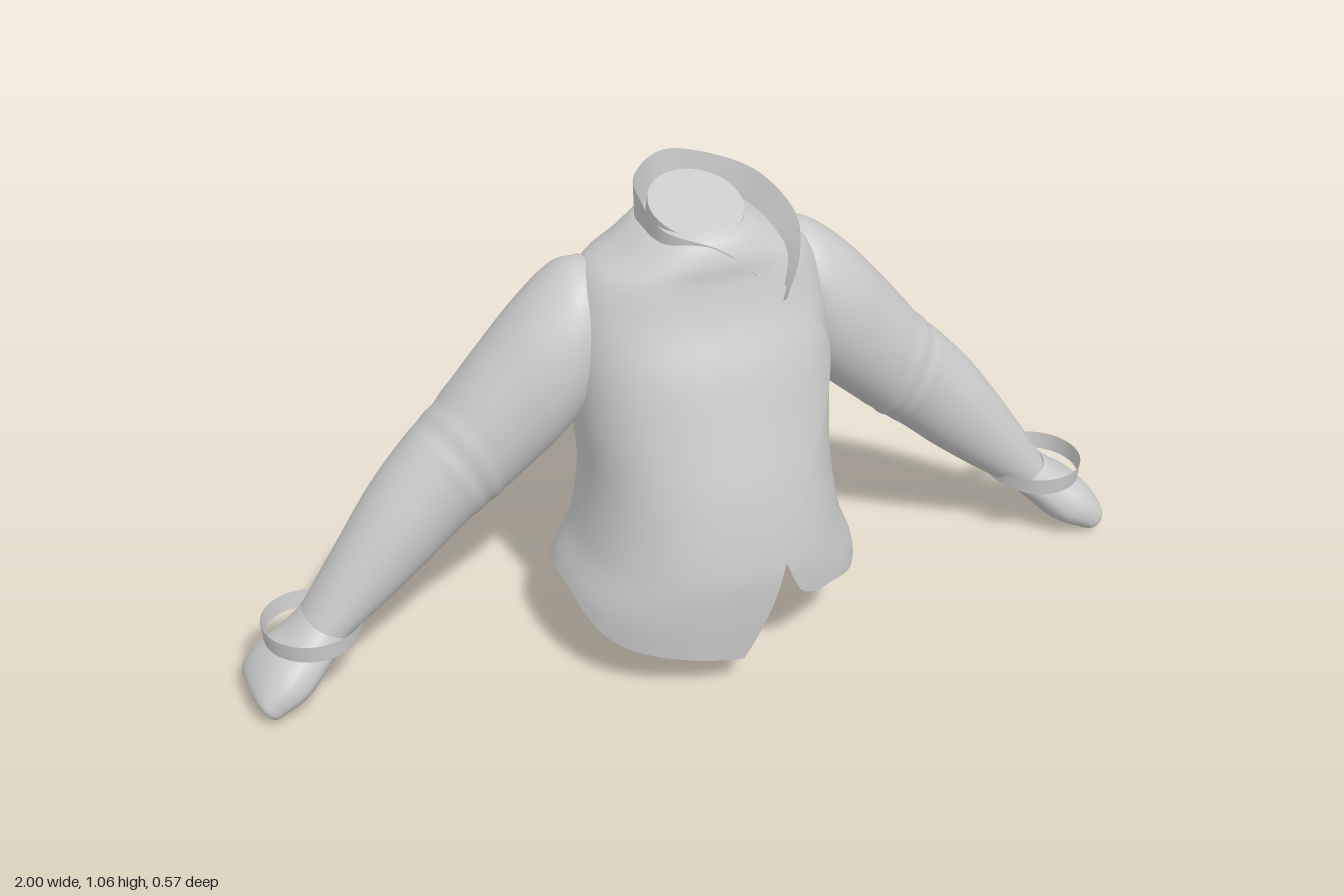
import * as THREE from 'three';
import { mergeVertices } from 'three/addons/utils/BufferGeometryUtils.js';

const material = new THREE.MeshStandardMaterial({ color: 0xcccccc, side: THREE.DoubleSide });

// Smooth lookup in rows of [key, value, value, ...]
function lookup(rows, k) {
  const n = rows.length;
  k = Math.min(Math.max(k, rows[0][0]), rows[n - 1][0]);
  let i = 0;
  while (i < n - 2 && k > rows[i + 1][0]) i++;
  const a = rows[i], b = rows[i + 1], p = rows[Math.max(i - 1, 0)], q = rows[Math.min(i + 2, n - 1)];
  const d = b[0] - a[0], t = (k - a[0]) / d, t2 = t * t, t3 = t2 * t;
  return a.slice(1).map((v, j) => {
    const w = b[j + 1];
    const m0 = (w - p[j + 1]) / (b[0] - p[0]) * d, m1 = (q[j + 1] - v) / (q[0] - a[0]) * d;
    return (2 * t3 - 3 * t2 + 1) * v + (t3 - 2 * t2 + t) * m0 + (3 * t2 - 2 * t3) * w + (t3 - t2) * m1;
  });
}

// Signed power, used to square off round sections
const squared = (s, power) => Math.sign(s) * Math.pow(Math.abs(s), power);

// Smooth surface from point(u, v); flip reverses the winding for mirrored parts
function surface(name, nu, nv, point, flip = false) {
  const pos = [], index = [];
  for (let j = 0; j <= nv; j++) for (let i = 0; i <= nu; i++) pos.push(...point(i / nu, j / nv));
  for (let j = 0; j < nv; j++) for (let i = 0; i < nu; i++) {
    const a = j * (nu + 1) + i, b = a + 1, c = b + nu + 1, d = a + nu + 1;
    if (flip) index.push(a, c, b, a, d, c);
    else index.push(a, b, c, a, c, d);
  }
  let geo = new THREE.BufferGeometry();
  geo.setAttribute('position', new THREE.Float32BufferAttribute(pos, 3));
  geo.setIndex(index);
  geo = mergeVertices(geo, 1e-5);
  geo.computeVertexNormals();
  const mesh = new THREE.Mesh(geo, material);
  mesh.name = name;
  return mesh;
}

// Torso sections: height, half width, front z, back z
const body = [
  [0.08, 0.342, 0.252, -0.287], [0.2, 0.326, 0.266, -0.26], [0.3, 0.287, 0.27, -0.236],
  [0.45, 0.265, 0.245, -0.224], [0.6, 0.275, 0.202, -0.244], [0.72, 0.28, 0.165, -0.252],
  [0.82, 0.272, 0.122, -0.228], [0.9, 0.235, 0.1, -0.194], [0.94, 0.175, 0.096, -0.18],
  [0.98, 0.117, 0.078, -0.168], [0.995, 0.08, 0.055, -0.15],
];
// Hem height by angle in degrees, from the hidden left panel edge round to the outer edge
const hem = [
  [14, 0.3], [20, 0.21], [38, 0.19], [58, 0.17], [90, 0.21], [135, 0.16], [180, 0.1],
  [225, 0.16], [270, 0.205], [310, 0.13], [340, 0.1], [360, 0.08],
];
// Angle of the overlapping front edge by height
const wrapEdge = [
  [0.08, -0.02], [0.2, 0.1], [0.35, 0.28], [0.5, 0.57], [0.63, 0.92], [0.7, 0.97],
  [0.76, 0.82], [0.86, 0.5], [0.94, 0.42], [0.995, 0.4],
];

// Wrapped jacket body: one sheet that overlaps itself across the front
function jacketPoint(u, v) {
  const y = THREE.MathUtils.lerp(lookup(hem, 14 + 346 * u)[0], 0.995, 1 - Math.pow(1 - v, 1.4));
  const start = 0.245, end = Math.PI * 2 + lookup(wrapEdge, y)[0];
  const a = start + (end - start) * u;
  const lift = 0.012 * THREE.MathUtils.smoothstep(a, Math.PI * 1.5, Math.PI * 2);
  const [w, f, b] = lookup(body, y);
  const c = Math.cos(a);
  return [
    (w + lift) * squared(Math.sin(a), 0.88), y,
    (f + b) / 2 + ((f - b) / 2 + lift) * squared(c, c < 0 ? 0.82 : 0.9),
  ];
}

// Collar rows: key, bottom xyz, top xyz, from the left lapel tip round the neck to the front
const collar = [
  [0, 0.13, 0.825, 0.1, 0.132, 0.845, 0.128],
  [1, 0.15, 0.885, 0.05, 0.174, 0.92, 0.094],
  [2, 0.135, 0.935, -0.01, 0.185, 0.995, 0.035],
  [3, 0.11, 0.95, -0.1, 0.14, 1.04, -0.1],
  [4, 0, 0.95, -0.17, 0, 1.068, -0.18],
  [5, -0.098, 0.945, -0.115, -0.1, 1.055, -0.12],
  [6, -0.118, 0.94, -0.04, -0.115, 1.03, -0.04],
  [7, -0.095, 0.935, 0.045, -0.1, 1.005, 0.052],
  [8, 0, 0.92, 0.092, 0.0, 0.968, 0.1],
  [9, 0.07, 0.885, 0.095, 0.075, 0.9, 0.108],
];
function collarPoint(u, v) {
  const p = lookup(collar, 9 * u);
  return [0, 1, 2].map((i) => p[i] + (p[i + 3] - p[i]) * v);
}

// Limb rows: key, upper edge x y, lower edge x y, centre z, half depth
const sleeve = [
  [0, 0.225, 0.908, 0.24, 0.58, -0.08, 0.115], [1, 0.28, 0.896, 0.28, 0.55, -0.082, 0.13],
  [2, 0.36, 0.832, 0.32, 0.51, -0.08, 0.127], [3, 0.45, 0.73, 0.38, 0.455, -0.086, 0.118],
  [4, 0.545, 0.612, 0.44, 0.4, -0.095, 0.112], [5, 0.62, 0.535, 0.51, 0.345, -0.098, 0.104],
  [6, 0.7, 0.44, 0.59, 0.275, -0.096, 0.097], [7, 0.79, 0.308, 0.68, 0.205, -0.09, 0.083],
  [8, 0.865, 0.19, 0.77, 0.14, -0.088, 0.073],
];
const hand = [
  [0, 0.865, 0.19, 0.77, 0.14, -0.085, 0.068], [1, 0.905, 0.155, 0.818, 0.098, -0.075, 0.082],
  [2, 0.951, 0.122, 0.873, 0.043, -0.068, 0.1], [3, 0.986, 0.085, 0.923, 0.016, -0.068, 0.102],
  [4, 1.0, 0.053, 0.959, 0.004, -0.07, 0.091], [4.3, 0.987, 0.041, 0.971, 0.022, -0.07, 0.045],
  [4.4, 0.978, 0.031, 0.978, 0.031, -0.07, 0],
];
function limbPoint(rows, side, power, creases) {
  const last = rows[rows.length - 1][0];
  return (u, v) => {
    const a = u * Math.PI * 2, k = v * last;
    const [tx, ty, bx, by, z, d] = lookup(rows, k);
    // Cloth folds gathered at the elbow
    const fold = 1 + creases * Math.sin((k + 0.3 * Math.sin(a)) * 11) * Math.exp(-(((k - 4.1) / 0.45) ** 2));
    const c = squared(Math.cos(a), power) * 0.5 * fold, s = squared(Math.sin(a), power) * fold;
    return [side * ((tx + bx) / 2 + (tx - bx) * c), (ty + by) / 2 + (ty - by) * c, z + d * s];
  };
}

// Loose cuff band around the wrist, pointed towards the body
function cuffPoint(side) {
  return (u, v) => {
    const a = u * Math.PI * 2, x = Math.sin(a), z = Math.cos(a);
    const inner = Math.max(0, -x) ** 4;
    const r = 0.1 + 0.004 * v;
    return [side * (0.852 + r * x - 0.012 * inner), 0.143 + 0.04 * v + inner * 0.016 * (1 - v) + 0.004 * z, -0.078 + (r + 0.009) * z];
  };
}

export function createModel() {
  const model = new THREE.Group();
  model.name = 'wrapJacket';
  model.add(surface('jacketBody', 144, 56, jacketPoint));
  model.add(surface('collar', 72, 6, collarPoint));

  // Neck stump closing the collar
  const neck = new THREE.Mesh(new THREE.CylinderGeometry(0.097, 0.1, 0.08, 40), material);
  neck.name = 'neck';
  neck.scale.z = 1.12;
  neck.rotation.x = 0.25;
  neck.position.set(0, 0.972, -0.045);
  model.add(neck);

  for (const side of [1, -1]) {
    const arm = new THREE.Group();
    arm.name = side > 0 ? 'leftArm' : 'rightArm';
    arm.add(surface('sleeve', 40, 96, limbPoint(sleeve, side, 0.95, 0.015), side < 0));
    arm.add(surface('hand', 32, 28, limbPoint(hand, side, 0.8, 0), side < 0));
    arm.add(surface('cuff', 48, 2, cuffPoint(side), side < 0));
    model.add(arm);
  }
  return model;
}
